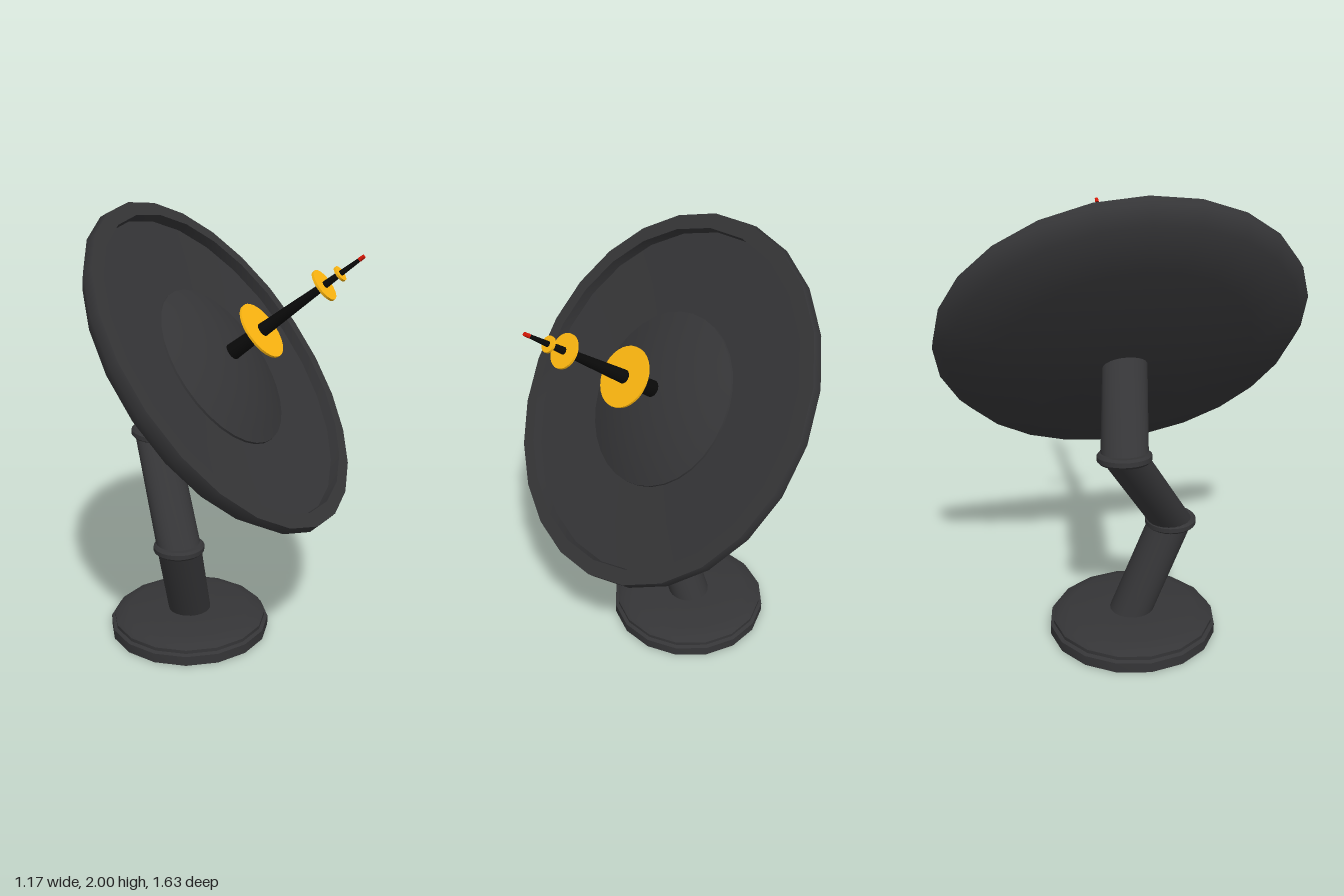
import * as THREE from 'three';
import { toCreasedNormals } from 'three/addons/utils/BufferGeometryUtils.js';

const V = (x, y, z) => new THREE.Vector3(x, y, z);
const mat = (color) => new THREE.MeshStandardMaterial({ color });
const dark = mat(0x353537), black = mat(0x0a0a0a), gold = mat(0xffb810), red = mat(0xd81808);
const hollow = new THREE.MeshStandardMaterial({ color: 0x353537, side: THREE.DoubleSide });

const DISH_TILT = THREE.MathUtils.degToRad(37 - 90);
const MAST_TILT = THREE.MathUtils.degToRad(38.2 - 90);

function part(name, geometry, material) {
  const mesh = new THREE.Mesh(geometry, material);
  mesh.name = name;
  return mesh;
}

// Turned solid; the profile runs from the underside, outwards and up
function turned(profile, sides, crease = 0.45) {
  const points = profile.map(([r, y]) => new THREE.Vector2(r, y));
  return toCreasedNormals(new THREE.LatheGeometry(points, sides), crease);
}

// Slanted open tube between two elliptical sections {c, u, v}
function slantedTube(a, b, sides = 24) {
  const pos = [], index = [];
  for (const s of [a, b]) {
    for (let i = 0; i <= sides; i++) {
      const t = (i / sides) * Math.PI * 2;
      const p = s.c.clone().addScaledVector(s.u, Math.cos(t)).addScaledVector(s.v, Math.sin(t));
      pos.push(p.x, p.y, p.z);
    }
  }
  const n = sides + 1;
  for (let i = 0; i < sides; i++) {
    index.push(i, i + 1, n + i, i + 1, n + i + 1, n + i);
  }
  const g = new THREE.BufferGeometry();
  g.setAttribute('position', new THREE.Float32BufferAttribute(pos, 3));
  g.setIndex(index);
  return toCreasedNormals(g, 0.6);
}

export function createModel() {
  const model = new THREE.Group();
  model.name = 'dishAntenna';

  // Stepped round base, hollow underneath, with a hole into the arm
  const base = part('base', turned([
    [0.08, 0.097], [0.08, 0.085], [0.29, 0.085], [0.34, 0.06], [0.35, 0], [0.378, 0],
    [0.378, 0.045], [0.362, 0.052], [0.362, 0.068], [0.345, 0.08], [0.29, 0.097], [0.08, 0.097],
  ], 16), dark);
  base.position.set(-0.2125, 0, 0);
  model.add(base);

  // Crooked arm of three slanted tubes
  const ring = (x, y, z, tilt = 0) => ({
    c: V(x, y, z),
    u: V(0.1 * Math.cos(tilt), 0.1 * Math.sin(tilt), 0),
    v: V(0, 0, -0.1),
  });
  const foot = ring(-0.213, 0.09, -0.004);
  const elbow = ring(-0.172, 0.5, 0.185);
  const wrist = ring(-0.413, 0.935, -0.08, -0.11);
  const dishEnd = { c: V(-0.055, 1.262, 0), u: V(0.042, -0.056, 0), v: V(0, 0, -0.1) };
  const arm = new THREE.Group();
  arm.name = 'arm';
  arm.add(
    part('lowerArm', slantedTube(foot, elbow), hollow),
    part('middleArm', slantedTube(elbow, wrist), dark),
    part('upperArm', slantedTube(wrist, dishEnd), dark),
  );

  // Collars over the two bends
  const collar = turned([
    [0, -0.02], [0.105, -0.02], [0.115, -0.01], [0.115, 0.01], [0.105, 0.02], [0, 0.02],
  ], 24);
  [['elbowCollar', elbow, 0], ['wristCollar', wrist, -0.11]].forEach(([name, s, tilt]) => {
    const c = part(name, collar, dark);
    c.position.copy(s.c);
    c.rotation.z = tilt;
    arm.add(c);
  });
  model.add(arm);

  // Dish: shallow back, thick lip, recessed floor
  const dish = new THREE.Group();
  dish.name = 'dish';
  dish.position.set(0.0125, 1.3525, 0);
  dish.rotation.z = DISH_TILT;
  dish.add(part('reflector', turned([
    [0, -0.175], [0.3, -0.167], [0.55, -0.143], [0.762, -0.105], [0.816, -0.04], [0.81, 0],
    [0.745, 0], [0.745, -0.05], [0.56, -0.056], [0.37, -0.06],
  ], 24, 1.1), dark));

  // Raised dome with a small step at its edge
  const domeProfile = [[0.388, -0.075]];
  for (let i = 0; i <= 8; i++) {
    const r = 0.385 * (1 - i / 8);
    domeProfile.push([r, -0.05 + 0.07 * (1 - (r / 0.385) ** 2)]);
  }
  dish.add(part('dome', turned(domeProfile, 32, 0.6), dark));
  model.add(dish);

  // Tapered mast with discs and a red tip
  const mast = new THREE.Group();
  mast.name = 'mast';
  mast.position.set(0.001, 1.376, 0);
  mast.rotation.z = MAST_TILT;
  const addMast = (name, rTop, rBottom, from, to, material, sides) => {
    const m = part(name, new THREE.CylinderGeometry(rTop, rBottom, to - from, sides), material);
    m.position.y = (from + to) / 2;
    mast.add(m);
  };
  addMast('mastRod', 0.008, 0.038, 0, 0.71, black, 16);
  addMast('mastTip', 0.008, 0.009, 0.71, 0.735, red, 12);
  [['largeDisc', 0.185, 0.132], ['mediumDisc', 0.528, 0.072], ['smallDisc', 0.611, 0.034]]
    .forEach(([name, at, r]) => addMast(name, r, r, at - 0.005, at + 0.005, gold, 32));
  model.add(mast);

  return model;
}
